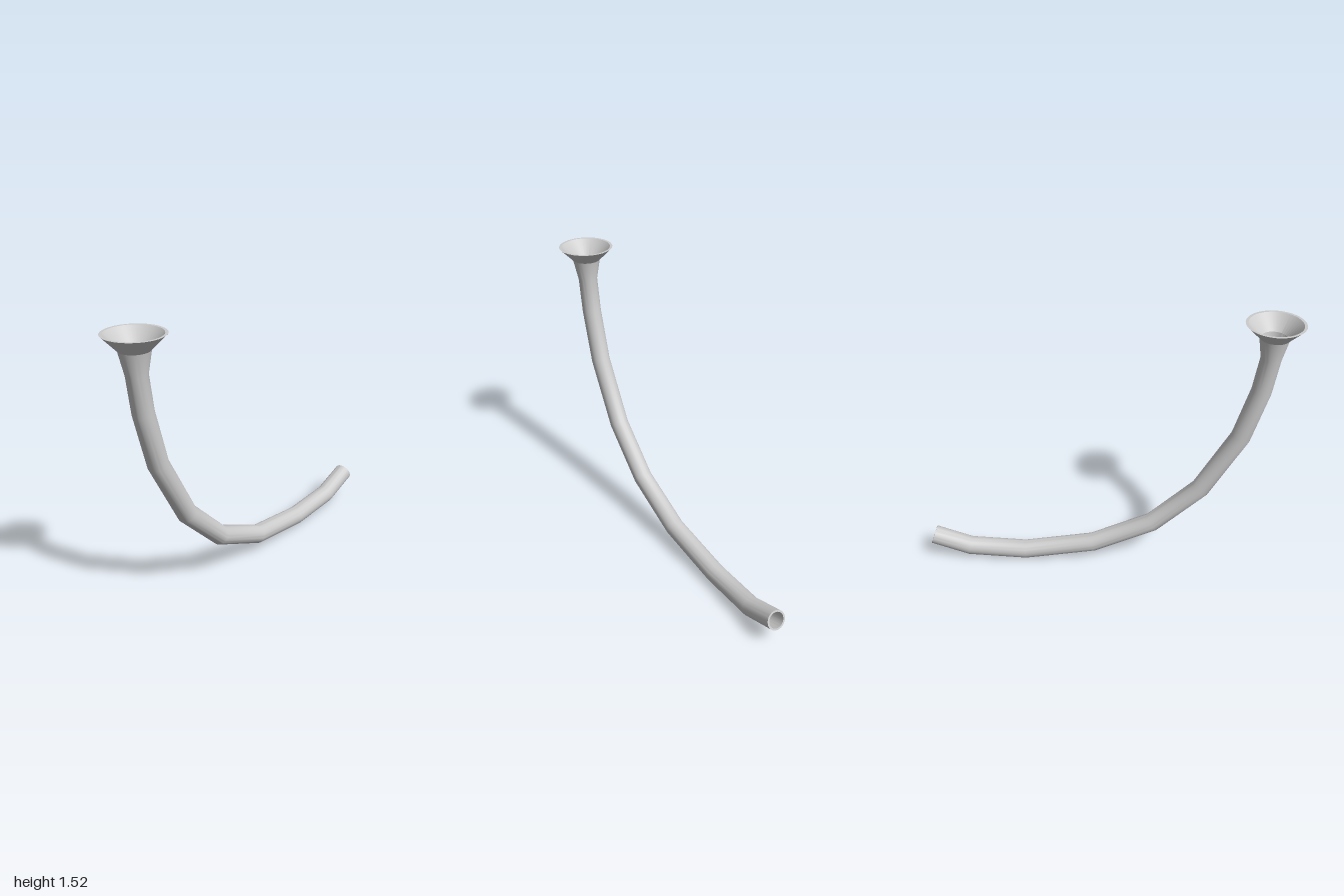
import * as THREE from 'three';
import { toCreasedNormals } from 'three/addons/utils/BufferGeometryUtils.js';

const SIDES = 36;
const WALL = 0.01;

// Pipe stations: x, y, z, outer radius (from the flared mouth to the open tail)
const STATIONS = [
  [-0.85, 1.52, 0, 0.15],
  [-0.85, 1.445, 0, 0.076],
  [-0.845, 1.33, 0, 0.053],
  [-0.818, 1.14, 0, 0.053],
  [-0.738, 0.855, 0, 0.053],
  [-0.545, 0.508, 0, 0.053],
  [-0.286, 0.262, 0, 0.053],
  [0.053, 0.11, 0, 0.053],
  [0.449, 0.054, 0, 0.053],
  [0.773, 0.073, 0.011, 0.053],
  [0.98, 0.151, 0.019, 0.053],
];

// Mitred ring at station i, lying in the plane that bisects the bend
function ring(points, i, radius) {
  const last = points.length - 1;
  const into = points[Math.max(i, 1)].clone().sub(points[Math.max(i, 1) - 1]).normalize();
  const out = points[Math.min(i, last - 1) + 1].clone().sub(points[Math.min(i, last - 1)]).normalize();
  const tangent = into.clone().add(out).normalize();
  const stretch = 1 / tangent.dot(into);
  const normal = new THREE.Vector3(0, 0, 1).cross(tangent).normalize();
  const side = tangent.clone().cross(normal);
  return Array.from({ length: SIDES }, (_, j) => {
    const a = (j / SIDES) * Math.PI * 2;
    return points[i].clone()
      .addScaledVector(normal, Math.cos(a) * radius * stretch)
      .addScaledVector(side, Math.sin(a) * radius);
  });
}

// Joins a closed loop of rings into a surface
function loft(rings) {
  const index = [];
  for (let i = 0; i < rings.length; i++) {
    const next = (i + 1) % rings.length;
    for (let j = 0; j < SIDES; j++) {
      const k = (j + 1) % SIDES;
      const a = i * SIDES + j, b = i * SIDES + k;
      const c = next * SIDES + j, d = next * SIDES + k;
      index.push(a, b, c, b, d, c);
    }
  }
  const geometry = new THREE.BufferGeometry().setFromPoints(rings.flat());
  geometry.setIndex(index);
  return toCreasedNormals(geometry, THREE.MathUtils.degToRad(30));
}

export function createModel() {
  const group = new THREE.Group();
  group.name = 'flaredPipe';
  const points = STATIONS.map(([x, y, z]) => new THREE.Vector3(x, y, z));

  // Outer skin down the pipe, then the inner skin back up to the mouth
  const outer = STATIONS.map((s, i) => ring(points, i, s[3]));
  const inner = STATIONS.map((s, i) => ring(points, i, s[3] - (i === 0 ? 1.4 : 1) * WALL)).reverse();

  const pipe = new THREE.Mesh(
    loft([...outer, ...inner]),
    new THREE.MeshStandardMaterial({ color: 0xcccccc })
  );
  pipe.name = 'curvedPipe';
  group.add(pipe);
  return group;
}
